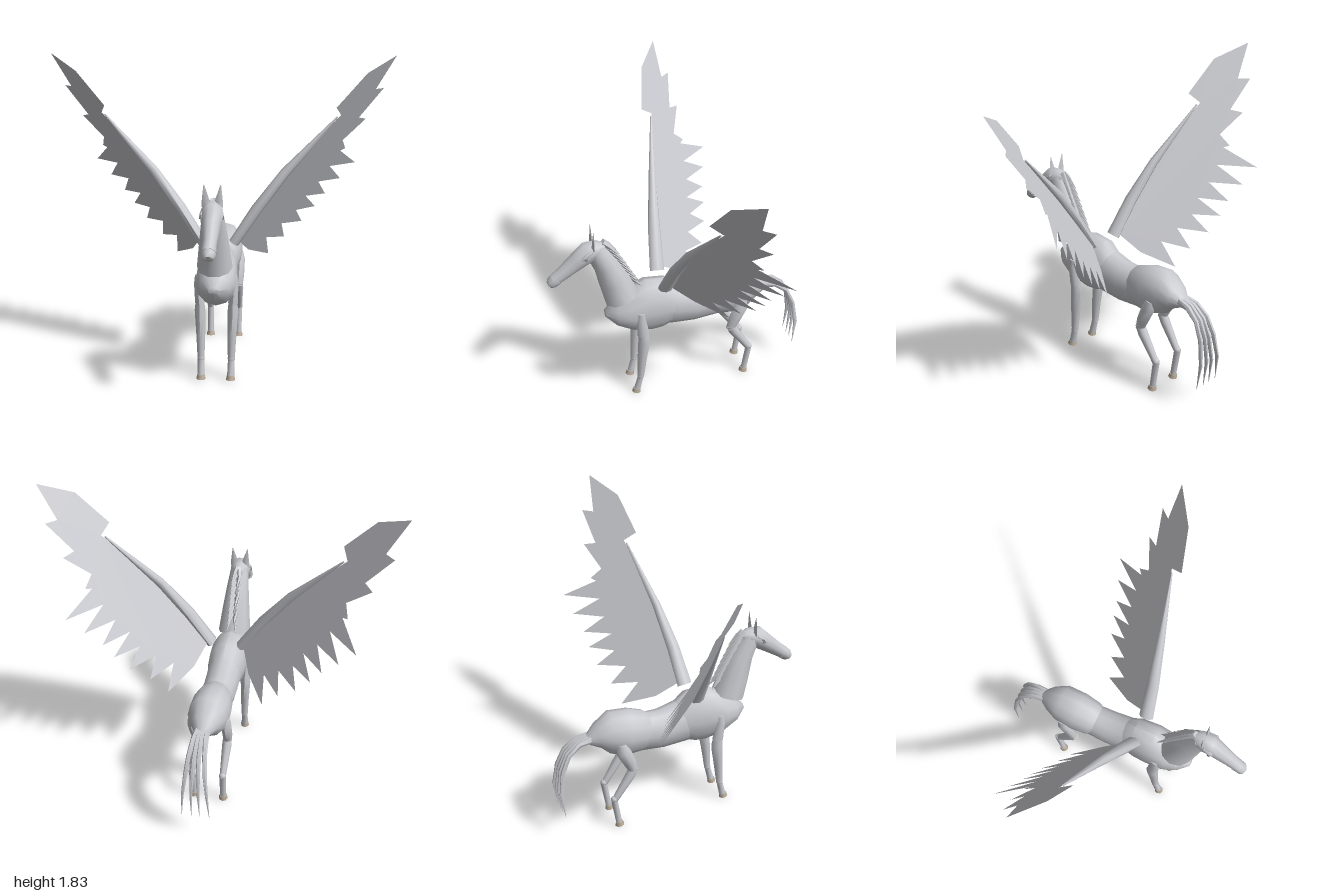
import * as THREE from 'three';
import { toCreasedNormals } from 'three/addons/utils/BufferGeometryUtils.js';

const coat = new THREE.MeshStandardMaterial({ color: 0xc8c9ce, side: THREE.DoubleSide });
coat.name = 'pale grey coat';
const horn = new THREE.MeshStandardMaterial({ color: 0xb9ab98 });
horn.name = 'tan horn';
const eyeGrey = new THREE.MeshStandardMaterial({ color: 0x8e8e94 });
eyeGrey.name = 'eye grey';

// Skin over elliptical rings [x, y, z, halfWidth, halfHeight] set square to the path, capped at both ends
function loft(rings, sides = 10) {
  const pos = [], index = [];
  const centres = rings.map(r => new THREE.Vector3(r[0], r[1], r[2]));
  const last = rings.length - 1;
  rings.forEach((r, i) => {
    const t = centres[Math.min(i + 1, last)].clone().sub(centres[Math.max(i - 1, 0)]).normalize();
    const side = new THREE.Vector3(1, 0, 0).addScaledVector(t, -t.x).normalize();
    const up = t.clone().cross(side);
    for (let j = 0; j < sides; j++) {
      const a = j / sides * Math.PI * 2;
      const p = centres[i].clone()
        .addScaledVector(side, Math.cos(a) * r[3])
        .addScaledVector(up, Math.sin(a) * (r[4] ?? r[3]));
      pos.push(p.x, p.y, p.z);
    }
  });
  const first = pos.length / 3;
  pos.push(...centres[0].toArray(), ...centres[last].toArray());
  for (let j = 0; j < sides; j++) {
    const k = (j + 1) % sides, e = last * sides;
    for (let i = 0; i < last; i++) {
      const a = i * sides, b = a + sides;
      index.push(a + j, a + k, b + k, a + j, b + k, b + j);
    }
    index.push(first, k, j, first + 1, e + j, e + k);
  }
  const g = new THREE.BufferGeometry();
  g.setAttribute('position', new THREE.Float32BufferAttribute(pos, 3));
  g.setIndex(index);
  return toCreasedNormals(g, 0.9);
}

function add(parent, name, geometry, material = coat) {
  const mesh = new THREE.Mesh(geometry, material);
  mesh.name = name;
  parent.add(mesh);
  return mesh;
}

// Ring for the trunk from its bottom and top heights
const trunk = (z, bottom, top, w) => [0, (bottom + top) / 2, z, w, (top - bottom) / 2];

// Wing outline [x, y], from shoulder up the leading edge and back down the feather tips
const FEATHERS = [
  [0.11, 0.78], [0.38, 1.17], [0.69, 1.5], [0.66, 1.55], [0.83, 1.74], [1, 1.83],
  [0.89, 1.635], [0.94, 1.635], [0.8, 1.465], [0.845, 1.45], [0.71, 1.33], [0.73, 1.27],
  [0.7, 1.26], [0.8, 1.155], [0.64, 1.165], [0.71, 1.06], [0.575, 1.07], [0.62, 0.97],
  [0.5, 0.985], [0.56, 0.89], [0.445, 0.895], [0.48, 0.8], [0.36, 0.82], [0.375, 0.71],
  [0.27, 0.745], [0.28, 0.61], [0.165, 0.685],
];

function wing(parent, s) {
  const g = new THREE.Group();
  g.name = s > 0 ? 'leftWing' : 'rightWing';
  const sheet = new THREE.ShapeGeometry(new THREE.Shape(FEATHERS.map(([x, y]) => new THREE.Vector2(s * x, y))));
  const p = sheet.attributes.position;
  // The sheet lies in one plane sweeping back from the shoulder
  for (let i = 0; i < p.count; i++) {
    p.setZ(i, 0.08 - 1.09 * (Math.abs(p.getX(i)) - 0.1) + 0.728 * (p.getY(i) - 0.78));
  }
  sheet.computeVertexNormals();
  add(g, 'feathers', sheet);
  add(g, 'wingArm', loft([
    [s * 0.09, 0.77, 0.1, 0.03, 0.045], [s * 0.22, 0.97, 0.08, 0.032, 0.038],
    [s * 0.38, 1.18, 0.045, 0.028, 0.025], [s * 0.67, 1.49, -0.03, 0.005, 0.005],
  ], 8));
  parent.add(g);
}

function hoof(parent, x, z) {
  add(parent, 'hoof', loft([[x, 0, z + 0.004, 0.027, 0.028], [x, 0.025, z, 0.022, 0.022]], 8), horn);
}

function legs(parent, s) {
  const front = new THREE.Group();
  front.name = s > 0 ? 'leftFrontLeg' : 'rightFrontLeg';
  add(front, 'shoulder', loft([
    [s * 0.105, 0.62, 0.25, 0.016, 0.022], [s * 0.105, 0.57, 0.252, 0.022, 0.03], [s * 0.095, 0.45, 0.24, 0.028, 0.036],
  ], 8));
  add(front, 'foreleg', loft([
    [s * 0.095, 0.47, 0.24, 0.024, 0.03], [s * 0.095, 0.4, 0.235, 0.031, 0.038],
    [s * 0.09, 0.26, 0.25, 0.026, 0.03], [s * 0.088, 0.11, 0.262, 0.02, 0.02],
  ], 8));
  add(front, 'fetlock', new THREE.SphereGeometry(0.022, 8, 6)).position.set(s * 0.088, 0.12, 0.262);
  add(front, 'pastern', loft([[s * 0.088, 0.12, 0.262, 0.019], [s * 0.086, 0.02, 0.285, 0.021]], 8));
  hoof(front, s * 0.086, 0.288);

  const hind = new THREE.Group();
  hind.name = s > 0 ? 'leftHindLeg' : 'rightHindLeg';
  add(hind, 'thigh', loft([
    [s * 0.095, 0.58, -0.385, 0.022, 0.03], [s * 0.1, 0.53, -0.375, 0.03, 0.044],
    [s * 0.098, 0.44, -0.335, 0.03, 0.038], [s * 0.095, 0.37, -0.31, 0.024, 0.026],
  ], 8));
  add(hind, 'gaskin', loft([
    [s * 0.095, 0.4, -0.31, 0.026, 0.028], [s * 0.095, 0.35, -0.335, 0.028, 0.03], [s * 0.092, 0.19, -0.44, 0.018, 0.02],
  ], 8));
  add(hind, 'hock', new THREE.SphereGeometry(0.022, 8, 6)).position.set(s * 0.092, 0.2, -0.44);
  add(hind, 'cannon', loft([[s * 0.092, 0.2, -0.442, 0.02], [s * 0.09, 0.02, -0.415, 0.018]], 8));
  hoof(hind, s * 0.09, -0.415);
  parent.add(front, hind);
}

export function createModel() {
  const model = new THREE.Group();
  model.name = 'wingedHorse';

  // Trunk in three overlapping sections
  add(model, 'chest', loft([
    trunk(0.447, 0.57, 0.61, 0.03), trunk(0.38, 0.5, 0.67, 0.085), trunk(0.3, 0.45, 0.72, 0.115),
    trunk(0.19, 0.425, 0.785, 0.118), trunk(0.09, 0.43, 0.775, 0.112), trunk(0.0, 0.465, 0.7, 0.092),
  ], 12));
  add(model, 'barrel', loft([
    trunk(0.12, 0.45, 0.755, 0.1), trunk(0.02, 0.445, 0.72, 0.102),
    trunk(-0.1, 0.44, 0.69, 0.1), trunk(-0.24, 0.455, 0.69, 0.095),
  ], 12));
  add(model, 'rump', loft([
    trunk(-0.16, 0.48, 0.665, 0.08), trunk(-0.22, 0.455, 0.71, 0.105), trunk(-0.32, 0.45, 0.745, 0.118),
    trunk(-0.43, 0.49, 0.755, 0.113), trunk(-0.5, 0.54, 0.69, 0.08), trunk(-0.57, 0.58, 0.62, 0.03),
  ], 12));

  // Neck and head
  add(model, 'neck', loft([
    [0, 0.7, 0.345, 0.1, 0.105], [0, 0.83, 0.385, 0.085, 0.095],
    [0, 0.95, 0.43, 0.07, 0.075], [0, 1.06, 0.49, 0.055, 0.06],
  ]));
  const head = new THREE.Group();
  head.name = 'head';
  add(head, 'skull', loft([
    [0, 1.07, 0.43, 0.025, 0.025], [0, 1.065, 0.47, 0.052, 0.05], [0, 1.05, 0.525, 0.062, 0.065],
    [0, 1.0, 0.59, 0.052, 0.055], [0, 0.93, 0.68, 0.04, 0.042], [0, 0.895, 0.73, 0.038, 0.037],
  ]));
  add(head, 'muzzle', loft([
    [0, 0.905, 0.71, 0.04, 0.04], [0, 0.88, 0.745, 0.038, 0.036], [0, 0.868, 0.762, 0.026, 0.022],
  ]));
  for (const s of [1, -1]) {
    add(head, 'ear', loft([
      [s * 0.035, 1.08, 0.5, 0.022, 0.012], [s * 0.036, 1.12, 0.5, 0.02, 0.008], [s * 0.045, 1.2, 0.498, 0.002, 0.001],
    ], 4));
    add(head, 'brow', loft([[s * 0.046, 1.075, 0.51, 0.01], [s * 0.05, 1.05, 0.55, 0.015], [s * 0.046, 1.02, 0.575, 0.006]], 6));
    const eye = add(head, 'eye', new THREE.CylinderGeometry(0.01, 0.01, 0.006, 6), eyeGrey);
    eye.rotation.z = Math.PI / 2;
    eye.position.set(s * 0.062, 1.035, 0.55);
    const nostril = add(head, 'nostril', new THREE.CylinderGeometry(0.007, 0.007, 0.006, 6), horn);
    nostril.rotation.x = Math.PI / 2;
    nostril.position.set(s * 0.014, 0.877, 0.766);
  }
  model.add(head);

  // Two rows of mane spikes down the crest
  const mane = new THREE.Group();
  mane.name = 'mane';
  for (let i = 0; i < 8; i++) {
    const t = i / 7, y = 1.1 - 0.25 * t, z = 0.44 - 0.13 * t;
    for (const s of [1, -1]) {
      add(mane, 'maneSpike', loft([
        [s * 0.006, y, z, 0.014, 0.02], [s * 0.015, y - 0.025, z - 0.03, 0.013, 0.016],
        [s * 0.028, y - 0.085, z - 0.083, 0.001, 0.001],
      ], 5));
    }
  }
  model.add(mane);

  // Four tail strands fanning out from the dock
  const tail = new THREE.Group();
  tail.name = 'tail';
  for (const k of [-1, -0.3, 0.3, 1]) {
    add(tail, 'tailStrand', loft([
      [k * 0.025, 0.615, -0.54, 0.02, 0.024], [k * 0.035, 0.605, -0.62, 0.016, 0.018],
      [k * 0.045, 0.55, -0.69, 0.013, 0.014], [k * 0.055, 0.45, -0.735, 0.012, 0.014],
      [k * 0.07, 0.31, -0.757, 0.008, 0.012], [k * 0.08, 0.15, -0.742, 0.001, 0.001],
    ], 6));
  }
  model.add(tail);

  for (const s of [1, -1]) {
    legs(model, s);
    wing(model, s);
  }
  return model;
}
